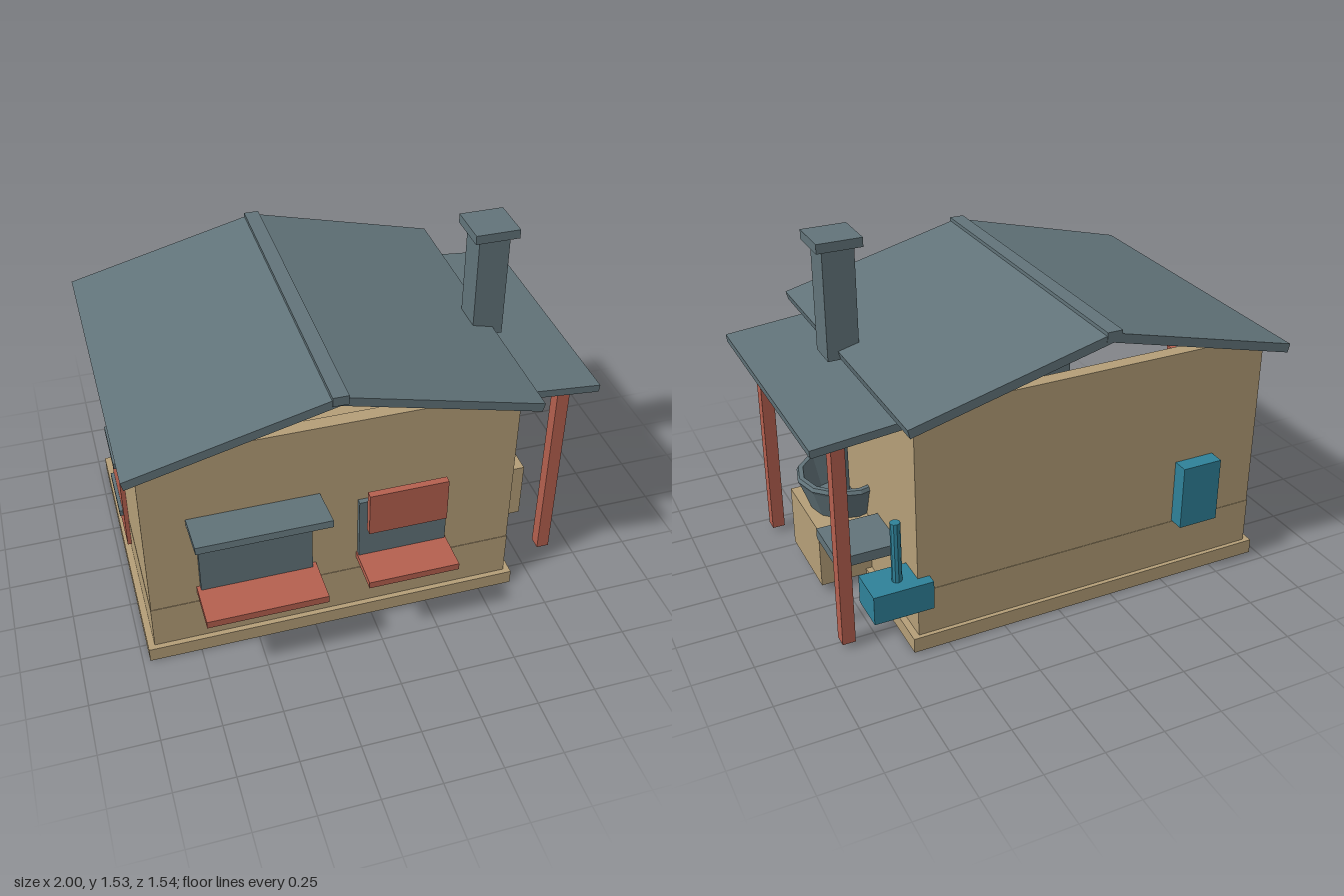
import * as THREE from 'three';

const paint = (color, side = THREE.FrontSide) =>
  new THREE.MeshStandardMaterial({ color, flatShading: true, side });

export function createModel() {
  const house = new THREE.Group();
  house.name = 'house';
  const tan = paint(0xb59f78), grey = paint(0x62747a), red = paint(0xb5604f), blue = paint(0x2f8299);

  const add = (name, geometry, material) => {
    const mesh = new THREE.Mesh(geometry, material);
    mesh.name = name;
    house.add(mesh);
    return mesh;
  };
  // Box given by its limits on each axis
  const box = (name, material, x0, x1, y0, y1, z0, z1) => {
    const mesh = add(name, new THREE.BoxGeometry(x1 - x0, y1 - y0, z1 - z0), material);
    mesh.position.set((x0 + x1) / 2, (y0 + y1) / 2, (z0 + z1) / 2);
    return mesh;
  };
  // Sloped slab whose top edge runs from (xa, ya) to (xb, yb), along z
  const slab = (name, xa, ya, xb, yb, thick, z0, z1) => {
    const length = Math.hypot(xb - xa, yb - ya), angle = Math.atan2(yb - ya, xb - xa);
    const mesh = add(name, new THREE.BoxGeometry(length, thick, z1 - z0), grey);
    mesh.rotation.z = angle;
    mesh.position.set((xa + xb) / 2 + Math.sin(angle) * thick / 2,
      (ya + yb) / 2 - Math.cos(angle) * thick / 2, (z0 + z1) / 2);
    return mesh;
  };
  const cylinder = (name, material, r, x, y0, y1, z, sides = 10) => {
    const mesh = add(name, new THREE.CylinderGeometry(r, r, y1 - y0, sides), material);
    mesh.position.set(x, (y0 + y1) / 2, z);
    return mesh;
  };

  // Foundation and hollow walls, open under the gables
  box('foundation', tan, -0.97, 0.65, 0, 0.065, -0.69, 0.59);
  const rectangle = (Type, x0, x1, z0, z1) => new Type([[x0, z0], [x1, z0], [x1, z1], [x0, z1]]
    .map(([x, z]) => new THREE.Vector2(x, -z)));
  const plan = rectangle(THREE.Shape, -0.94, 0.62, -0.67, 0.565);
  plan.holes.push(rectangle(THREE.Path, -0.88, 0.56, -0.61, 0.505));
  const walls = add('walls', new THREE.ExtrudeGeometry(plan, { depth: 1, bevelEnabled: false }).rotateX(-Math.PI / 2), tan);
  walls.position.y = 0.065;
  box('lowerWallBand', tan, -0.942, 0.622, 0.065, 0.27, -0.672, 0.567);

  // Main roof
  slab('roofLeft', -1.0, 1.053, -0.16, 1.267, 0.038, -0.765, 0.655);
  slab('roofRight', -0.16, 1.267, 0.68, 1.053, 0.038, -0.765, 0.655);
  box('ridgeCap', grey, -0.195, -0.13, 1.235, 1.275, -0.768, 0.662);

  // Chimney
  box('chimney', grey, 0.59, 0.725, 1.015, 1.49, -0.038, 0.098);
  box('chimneyCap', grey, 0.563, 0.755, 1.49, 1.53, -0.068, 0.124);

  // Side porch
  slab('porchRoof', 0.60, 1.005, 1.0, 0.968, 0.033, -0.61, 0.505);
  for (const z of [0.415, -0.52]) box('porchPost', red, 0.845, 0.9, 0.022, 0.95, z - 0.028, z + 0.028);

  // Stove: pedestal, firebox door, basin, pole and hood
  const sx = 0.66, sz = 0.03;
  box('stovePedestal', tan, 0.475, 0.85, 0.04, 0.315, -0.155, 0.215);
  box('fireboxDoor', grey, 0.58, 0.74, 0.09, 0.22, 0.21, 0.238);
  const profile = [[0, 0.312], [0.155, 0.312], [0.2, 0.44], [0.208, 0.455], [0.2, 0.47], [0.18, 0.47], [0.14, 0.335], [0, 0.335]]
    .map(([r, y]) => new THREE.Vector2(r, y));
  const basin = add('basin', new THREE.LatheGeometry(profile, 12), paint(0x62747a, THREE.DoubleSide));
  basin.position.set(sx, 0, sz);
  cylinder('hoodPole', grey, 0.018, sx, 0.33, 0.76, sz);
  const hood = add('hood', new THREE.CylinderGeometry(0.09 * Math.SQRT2, 0.205 * Math.SQRT2, 0.17, 4).rotateY(Math.PI / 4), grey);
  hood.position.set(sx, 0.835, sz);
  box('hoodHandle', red, 0.85, 0.89, 0.762, 0.8, -0.015, 0.075);
  box('hoodHandleStem', grey, 0.81, 0.88, 0.8, 0.828, 0.016, 0.044);

  // Side table
  box('tableTop', grey, 0.62, 0.885, 0.345, 0.39, -0.49, -0.245);
  box('tableLeg', grey, 0.815, 0.855, 0.04, 0.345, -0.388, -0.35);

  // Water trough with pipe, and back hatch
  box('waterTrough', blue, 0.57, 0.82, 0.21, 0.335, -0.715, -0.55);
  cylinder('waterPipe', blue, 0.021, 0.695, 0.33, 0.6, -0.642);
  box('backHatch', blue, -0.73, -0.55, 0.275, 0.56, -0.737, -0.66);

  // Front windows with sills, awning and hanging board
  box('largeWindow', grey, -0.73, -0.26, 0.35, 0.685, 0.55, 0.59);
  box('largeSill', red, -0.745, -0.24, 0.32, 0.353, 0.56, 0.768);
  box('smallWindow', grey, -0.06, 0.32, 0.36, 0.655, 0.55, 0.588);
  box('smallSill', red, -0.065, 0.325, 0.332, 0.363, 0.56, 0.753);
  const awning = box('awning', grey, -0.765, -0.22, 0.715, 0.745, 0.56, 0.765);
  awning.rotation.x = -0.15;
  box('hangingBoard', red, -0.035, 0.3, 0.53, 0.732, 0.614, 0.645);

  // Side door with two bars
  box('door', red, -0.96, -0.93, 0.12, 0.738, -0.31, 0);
  for (const y of [0.295, 0.568]) box('doorBar', grey, -0.975, -0.955, y - 0.014, y + 0.014, -0.285, -0.02);

  return house;
}
